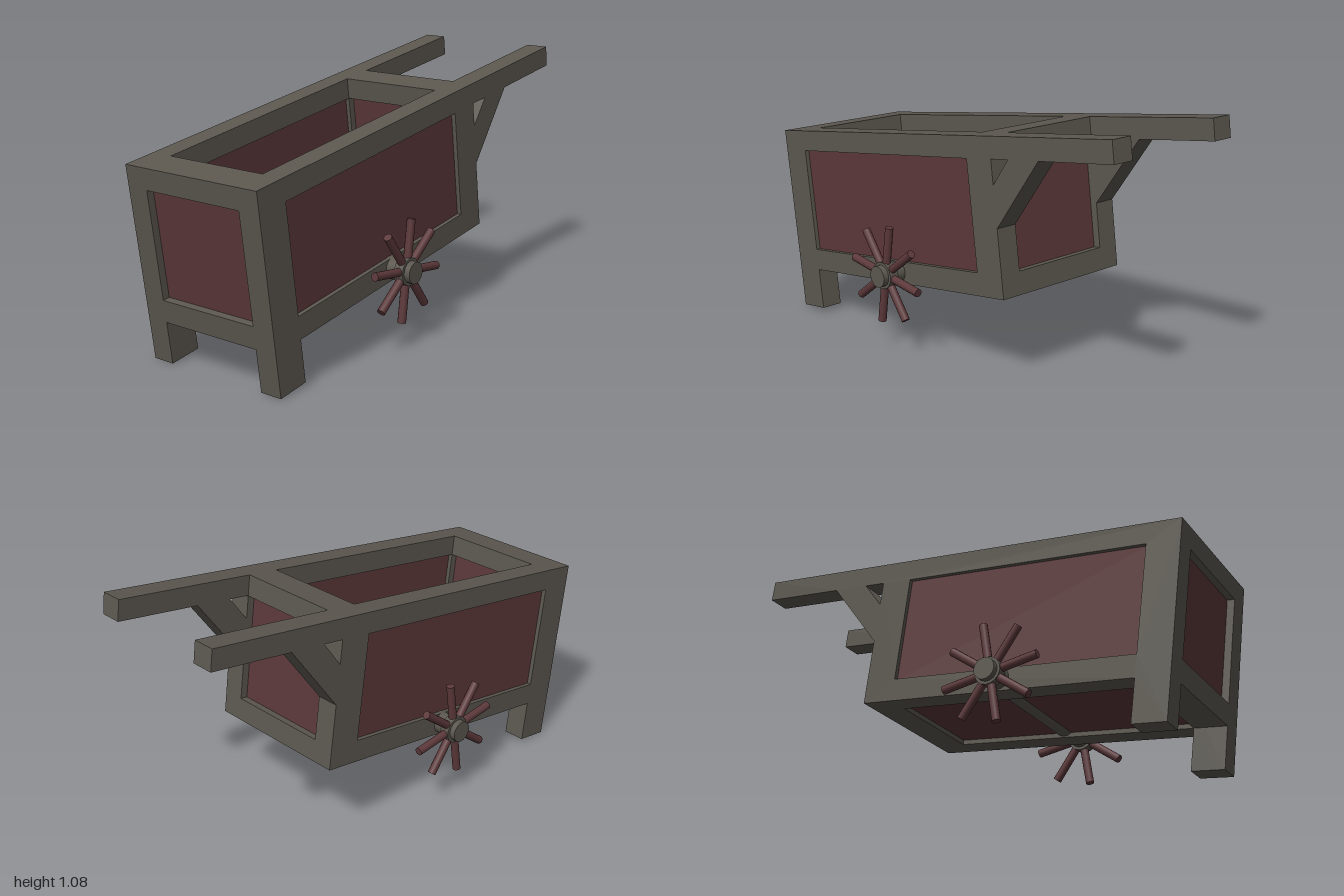
import * as THREE from 'three';

const wood = new THREE.MeshStandardMaterial({ color: 0x5c5850 });
wood.name = 'grey wood';
const red = new THREE.MeshStandardMaterial({ color: 0x5c383a });
red.name = 'dark red wood';

const INNER = 0.232, OUTER = 0.329; // z limits of each side frame

function path(points, Type = THREE.Shape) {
  return new Type(points.map(([x, y]) => new THREE.Vector2(x, y)));
}

function add(parent, name, geometry, material) {
  const mesh = new THREE.Mesh(geometry, material);
  mesh.name = name;
  parent.add(mesh);
  return mesh;
}

// Box given by its limits along the cart, upward and across
function box(parent, name, material, [x0, x1], [y0, y1], [z0, z1]) {
  const mesh = add(parent, name, new THREE.BoxGeometry(x1 - x0, y1 - y0, z1 - z0), material);
  mesh.position.set((x0 + x1) / 2, (y0 + y1) / 2, (z0 + z1) / 2);
  return mesh;
}

// Side frame outline: handle, diagonal brace, rails, posts and front leg
function sideFrameGeometry() {
  const shape = path([
    [0, 0], [0, -0.82], [0.143, -0.82], [0.143, -0.64], [1.378, -0.64],
    [1.378, -0.358], [1.634, -0.088], [2.005, -0.088], [2.005, 0],
  ]);
  shape.holes.push(
    path([[0.143, -0.09], [1.238, -0.09], [1.238, -0.545], [0.143, -0.545]], THREE.Path),
    path([[1.378, -0.088], [1.472, -0.088], [1.378, -0.188]], THREE.Path),
  );
  return new THREE.ExtrudeGeometry(shape, { depth: OUTER - INNER, bevelEnabled: false });
}

function spokedWheel() {
  const wheel = new THREE.Group();
  wheel.name = 'spokedWheel';
  add(wheel, 'hubCollar', new THREE.CylinderGeometry(0.058, 0.058, 0.042, 16), wood).rotation.x = Math.PI / 2;
  for (let i = 0; i < 8; i++) {
    const spoke = new THREE.CylinderGeometry(0.0175, 0.0175, 0.213, 12);
    spoke.translate(0, 0.1065, 0);
    add(wheel, 'spoke', spoke, red).rotation.z = (i * Math.PI) / 4 - 0.275;
  }
  return wheel;
}

export function createModel() {
  const model = new THREE.Group();
  model.name = 'handCart';

  // The whole cart leans back, pivoting at its top front corner
  const cart = new THREE.Group();
  cart.name = 'tiltedCart';
  cart.rotation.z = 0.1354;
  cart.position.set(-1, 0.8125, 0);
  model.add(cart);

  // Side frames and their panels
  const frame = sideFrameGeometry();
  for (const s of [1, -1]) {
    add(cart, 'sideFrame', frame, wood).position.z = s > 0 ? INNER : -OUTER;
    const panel = box(cart, 'sidePanel', red, [0.143, 1.238], [-0.545, -0.09], [-0.03, 0.03]);
    panel.position.z = s * (INNER + OUTER) / 2;
  }

  // Cross bars and panels at both ends
  const across = [-INNER, INNER];
  for (const [a, b] of [[0, 0.143], [1.238, 1.378]]) {
    box(cart, 'topCrossBar', wood, [a, b], [-0.09, 0], across);
    box(cart, 'bottomCrossBar', wood, [a, b], [-0.64, -0.545], across);
    box(cart, 'endPanel', red, [a + 0.032, b - 0.032], [-0.545, -0.09], across);
  }

  // Floor
  box(cart, 'floor', red, [0.143, 1.238], [-0.62, -0.57], across);

  // Axle with a spoked wheel at each end
  const axle = add(cart, 'axle', new THREE.CylinderGeometry(0.046, 0.046, 0.884, 16), wood);
  axle.rotation.x = Math.PI / 2;
  axle.position.set(0.732, -0.589, 0);
  for (const s of [1, -1]) {
    const wheel = spokedWheel();
    wheel.position.set(0.732, -0.589, s * 0.396);
    cart.add(wheel);
  }

  return model;
}
